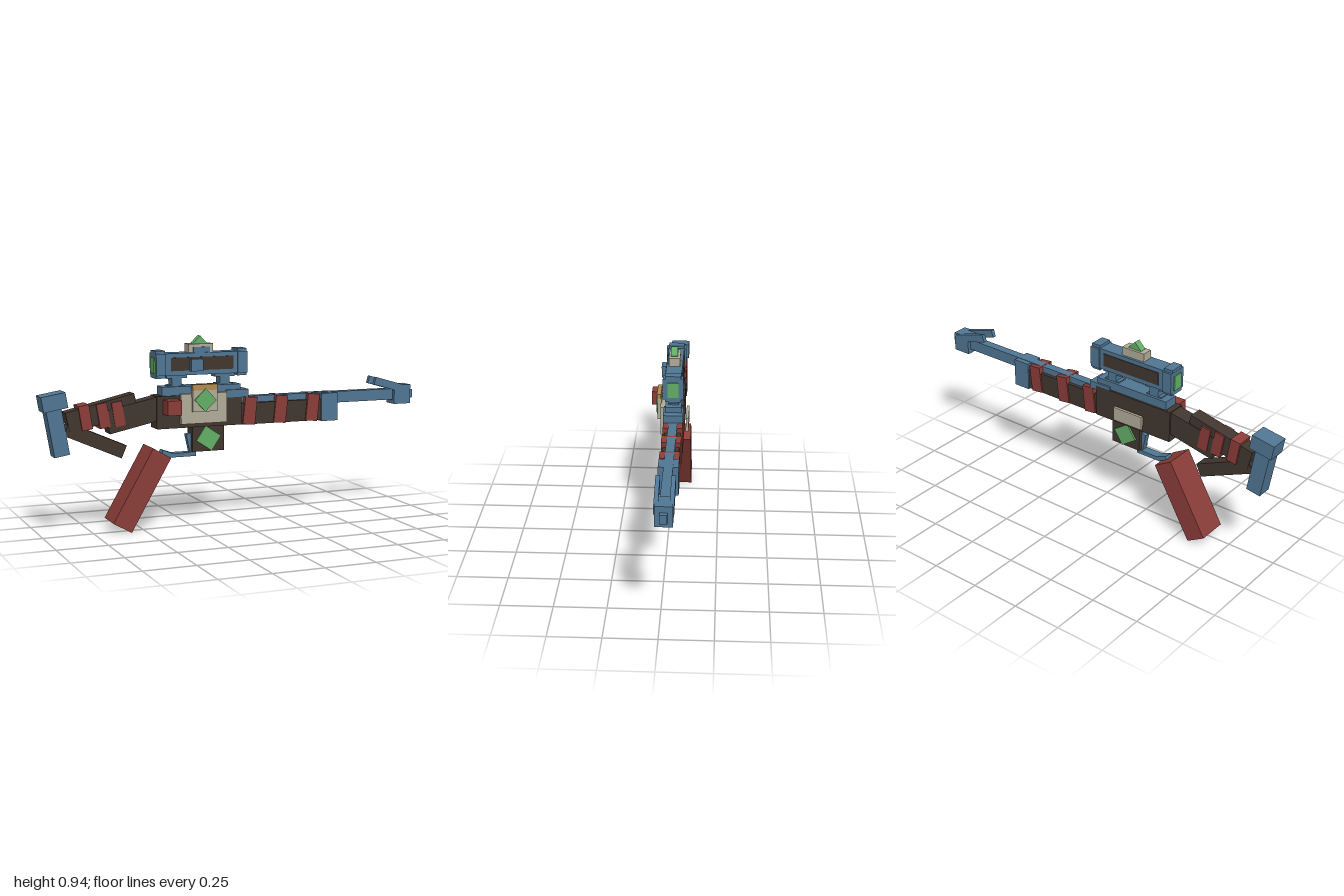
import * as THREE from 'three';

const mat = (name, color) => {
  const m = new THREE.MeshStandardMaterial({ color });
  m.name = name;
  return m;
};

export function createModel() {
  const blue = mat('steelBlue', 0x507592);
  const dark = mat('darkWood', 0x41362f);
  const red = mat('redWrap', 0x8a3d38);
  const cream = mat('cream', 0xb0ab97);
  const green = mat('greenCrystal', 0x62ad66);
  const gold = mat('gold', 0xb08a50);
  const model = new THREE.Group();
  const MID = -0.024; // centre plane of the body

  // Box centred at x, y with depth d around z, turned by deg in the side plane
  const box = (name, m, x, y, w, h, d, z = MID, deg = 0) => {
    const mesh = new THREE.Mesh(new THREE.BoxGeometry(w, h, d), m);
    mesh.name = name;
    mesh.position.set(x, y, z);
    mesh.rotation.z = THREE.MathUtils.degToRad(deg);
    model.add(mesh);
    return mesh;
  };
  // Box given by its limits
  const span = (name, m, x0, x1, y0, y1, z0, z1) =>
    box(name, m, (x0 + x1) / 2, (y0 + y1) / 2, x1 - x0, y1 - y0, z1 - z0, (z0 + z1) / 2);

  // Butt
  box('buttPlate', blue, -0.921, 0.52, 0.075, 0.25, 0.078, MID, 9.5);
  box('buttCap', blue, -0.935, 0.655, 0.12, 0.075, 0.096, MID, 9.5);

  // Stock with wraps and lower strut
  box('stockRear', dark, -0.7, 0.592, 0.35, 0.1, 0.07, MID, 13);
  box('stockFront', dark, -0.535, 0.575, 0.29, 0.115, 0.08, MID, 12);
  box('stockStrut', dark, -0.735, 0.46, 0.31, 0.066, 0.066, MID, -24);
  for (const x of [-0.785, -0.697, -0.622]) {
    box('stockWrap', red, x, 0.58 + (x + 0.7) * 0.06, 0.052, 0.12, 0.088, MID, 9);
  }

  // Receiver and top rail
  span('receiver', dark, -0.43, 0.012, 0.5, 0.66, -0.073, 0.025);
  span('rail', blue, -0.4, 0.01, 0.66, 0.703, -0.064, 0.016);
  span('railFront', blue, -0.07, 0.05, 0.638, 0.676, -0.073, 0.0255);

  // Barrel, handguard and wraps
  span('barrel', blue, 0, 0.9, 0.58, 0.637, -0.046, -0.002);
  span('handguard', dark, 0.01, 0.46, 0.497, 0.605, -0.064, 0.016);
  for (const x of [0.06, 0.228, 0.405]) {
    box('handguardWrap', red, x, 0.566, 0.065, 0.138, 0.096, MID, -6);
  }
  span('handguardEnd', blue, 0.455, 0.545, 0.492, 0.635, -0.072, 0.024);

  // Muzzle with a swept plate on each side
  span('muzzle', blue, 0.88, 0.975, 0.558, 0.657, -0.064, 0.016);
  span('muzzleTip', blue, 0.97, 1, 0.585, 0.628, -0.041, -0.007);
  for (const s of [-1, 1]) {
    box('sightPlate', blue, 0.863, 0.657, 0.208, 0.04, 0.02, MID + s * 0.035, -16);
  }

  // Scope
  span('scopeTube', blue, -0.42, 0.035, 0.757, 0.865, -0.064, 0.016);
  for (const s of [-1, 1]) {
    box('scopePanel', dark, -0.192, 0.812, 0.325, 0.065, 0.006, MID + s * 0.041);
    const x = -0.194 + s * 0.213;
    box('scopeCapWide', blue, x, 0.812, 0.05, 0.106, 0.1);
    box('scopeCapTall', blue, x, 0.812, 0.048, 0.134, 0.078);
    box('lens', green, -0.194 + s * 0.24, 0.808, 0.009, 0.076, 0.054);
    const mx = -0.194 + s * 0.126;
    box('scopeMount', blue, mx, 0.728, 0.05, 0.07, 0.054);
    box('scopeMountHead', blue, mx, 0.754, 0.105, 0.024, 0.054);
    box('scopeMountFoot', blue, mx, 0.703, 0.085, 0.012, 0.054);
  }
  span('scopeKnob', blue, -0.258, -0.197, 0.777, 0.837, 0, 0.043);
  span('topMount', cream, -0.258, -0.13, 0.86, 0.907, -0.052, 0.004);
  span('topMountFace', blue, -0.235, -0.15, 0.862, 0.892, 0, 0.01);
  box('topCrystal', green, -0.195, 0.909, 0.053, 0.053, 0.034, -0.022, 45);

  // Side plates on the receiver
  span('sidePlate', cream, -0.313, -0.073, 0.52, 0.668, 0.02, 0.044);
  span('sidePlateInner', cream, -0.258, -0.13, 0.58, 0.69, 0.04, 0.061);
  span('goldClasp', gold, -0.26, -0.13, 0.685, 0.714, 0.043, 0.064);
  box('sideCrystal', green, -0.194, 0.637, 0.08, 0.08, 0.03, 0.053, 43);
  span('sideKnob', red, -0.4, -0.33, 0.573, 0.645, 0.02, 0.1);
  span('backPlate', cream, -0.28, -0.112, 0.522, 0.592, -0.096, -0.082);

  // Magazine with a crystal through it
  span('magazine', dark, -0.243, -0.077, 0.375, 0.51, -0.058, 0.01);
  box('magazineCrystal', green, -0.16, 0.44, 0.096, 0.088, 0.086, MID, -34);

  // Trigger, guard and grip
  box('trigger', blue, -0.243, 0.415, 0.03, 0.1, 0.03, MID, 12);
  span('triggerGuard', blue, -0.36, -0.22, 0.352, 0.372, -0.046, -0.002);
  box('triggerGuardEnd', blue, -0.368, 0.371, 0.06, 0.022, 0.044, MID, -20);
  box('grip', red, -0.517, 0.209, 0.105, 0.41, 0.153, -0.0235, -30);

  return model;
}
